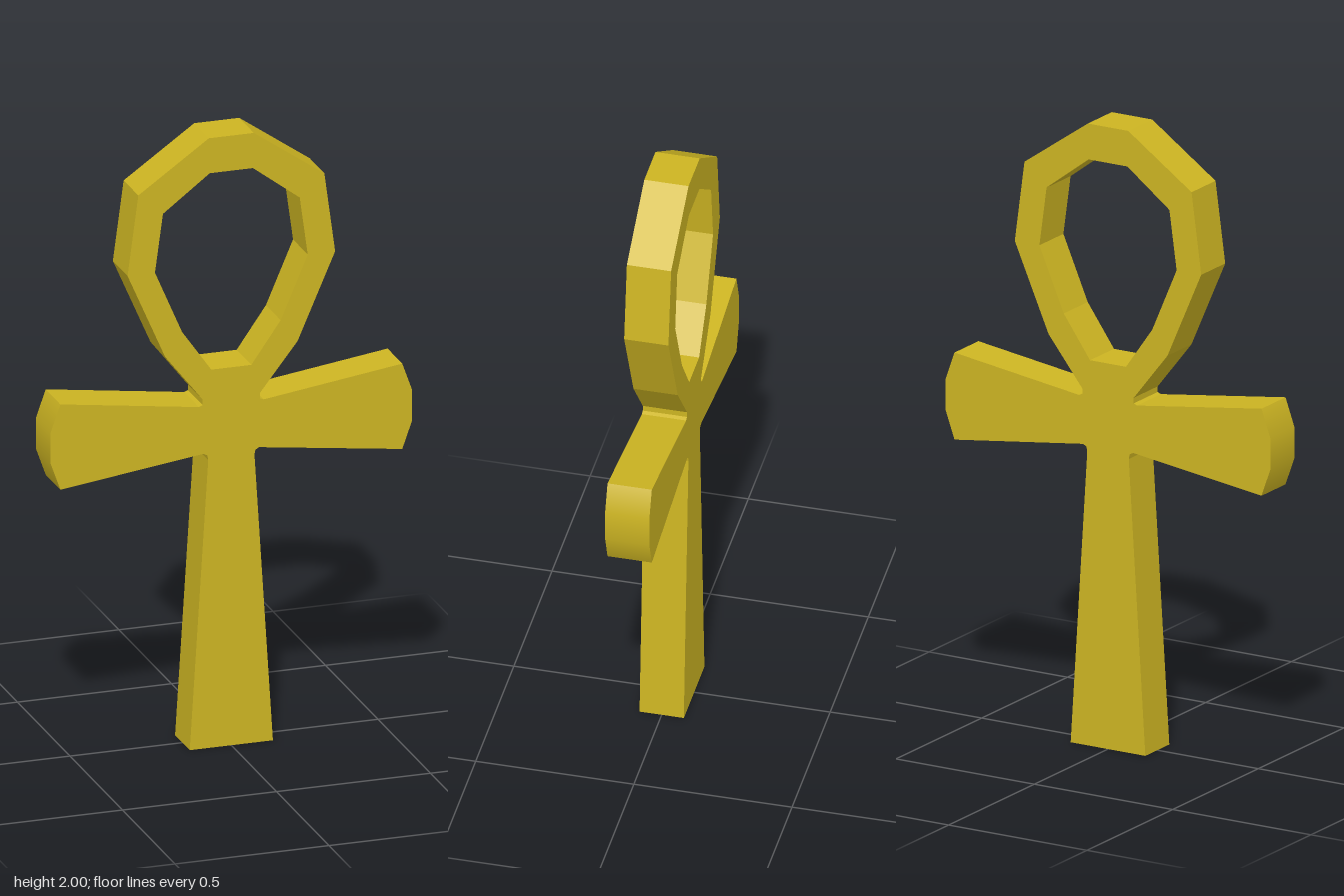
import * as THREE from 'three';

const DEPTH = 0.14;

// Right half of the outline, from the foot up to the top of the loop
const outline = [
  [0.135, 0], [0.075, 0.945], [0.078, 0.96], [0.09, 0.967],
  [0.555, 0.905], [0.587, 0.995], [0.587, 1.095], [0.555, 1.185],
  [0.105, 1.122], [0.093, 1.127], [0.093, 1.145],
  [0.215, 1.3], [0.337, 1.58], [0.302, 1.84], [0.073, 2],
];

// Right half of the loop opening
const opening = [[0.065, 1.24], [0.16, 1.375], [0.248, 1.58], [0.222, 1.77], [0.07, 1.885]];

// Closes a half outline with its mirror image
function mirrored(half) {
  const left = half.map(([x, y]) => [-x, y]).reverse();
  return [...half, ...left].map(([x, y]) => new THREE.Vector2(x, y));
}

// Gives the curved tips of the arms smooth normals
function smoothArmTips(geometry) {
  const p = geometry.attributes.position;
  const n = geometry.attributes.normal;
  const v = new THREE.Vector3();
  for (let i = 0; i < p.count; i++) {
    if (Math.abs(p.getX(i)) < 0.55 || Math.abs(n.getX(i)) < 0.8) continue;
    v.set(p.getX(i) - Math.sign(p.getX(i)) * 0.285, p.getY(i) - 1.045, 0).normalize();
    n.setXYZ(i, v.x, v.y, 0);
  }
}

export function createModel() {
  const group = new THREE.Group();
  group.name = 'loopedCross';

  const shape = new THREE.Shape(mirrored(outline));
  shape.holes.push(new THREE.Path(mirrored(opening)));

  const geometry = new THREE.ExtrudeGeometry(shape, { depth: DEPTH, bevelEnabled: false });
  geometry.translate(0, 0, -DEPTH / 2);
  smoothArmTips(geometry);

  const body = new THREE.Mesh(geometry, new THREE.MeshStandardMaterial({ color: 0xccb422 }));
  body.name = 'crossBody';
  group.add(body);
  return group;
}
